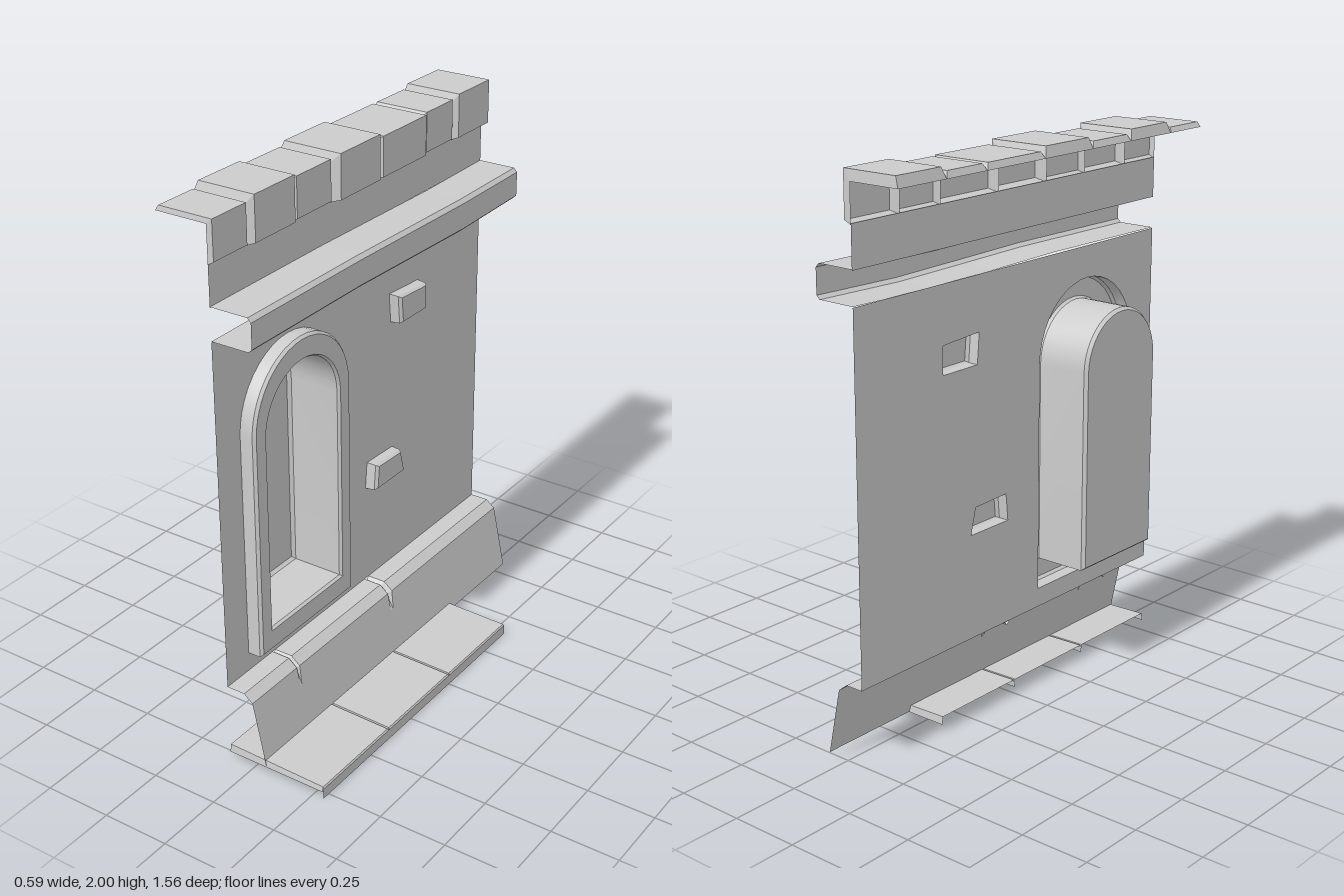
import * as THREE from 'three';
import { toCreasedNormals } from 'three/addons/utils/BufferGeometryUtils.js';

const flat = new THREE.MeshStandardMaterial({ color: 0xcccccc, flatShading: true, side: THREE.DoubleSide });
const smooth = new THREE.MeshStandardMaterial({ color: 0xcccccc, side: THREE.DoubleSide });

const WALL_X = -0.1;
const Z_END = 0.78;

// Joins equal-length rows of [x, y, z] points into a sheet.
function loft(rows) {
  const n = rows[0].length;
  const index = [];
  for (let i = 0; i < rows.length - 1; i++) {
    for (let j = 0; j < n - 1; j++) {
      const a = i * n + j, b = a + 1, c = a + n, d = c + 1;
      index.push(a, c, b, b, c, d);
    }
  }
  const g = new THREE.BufferGeometry();
  g.setAttribute('position', new THREE.Float32BufferAttribute(rows.flat(2), 3));
  g.setIndex(index);
  g.computeVertexNormals();
  return g;
}

function add(group, name, geometry, material = flat) {
  const mesh = new THREE.Mesh(geometry, material);
  mesh.name = name;
  group.add(mesh);
  return mesh;
}

// Closed arch outline as [z, y] points.
function arch(r, bottom, spring, steps = 20) {
  const zc = 0.395;
  const pts = [[zc + r, bottom]];
  for (let i = 0; i <= steps; i++) {
    const a = (i / steps) * Math.PI;
    pts.push([zc + r * Math.cos(a), spring + r * Math.sin(a)]);
  }
  pts.push([zc - r, bottom], [zc + r, bottom]);
  return pts;
}

// Flat sheet facing +x from [z, y] outlines.
function sheet(outline, x, holes = []) {
  const toV = (p) => p.map(([z, y]) => new THREE.Vector2(-z, y));
  const shape = new THREE.Shape(toV(outline));
  for (const h of holes) shape.holes.push(new THREE.Path(toV(h)));
  return new THREE.ShapeGeometry(shape).rotateY(Math.PI / 2).translate(x, 0, 0);
}

const rect = (y0, y1) => [[Z_END, y0], [-Z_END, y0], [-Z_END, y1], [Z_END, y1]];

export function createModel() {
  const model = new THREE.Group();
  model.name = 'wallSection';

  // Two raised bricks, as [z, y] corners
  const bricks = [
    [[-0.2, 1.27], [-0.37, 1.27], [-0.37, 1.37], [-0.19, 1.38]],
    [[-0.04, 0.675], [-0.235, 0.675], [-0.21, 0.77], [-0.05, 0.775]],
  ];

  // Wall sheets with openings behind the niche and bricks
  const frameOutline = arch(0.265, 0.365, 1.195);
  add(model, 'wall', sheet(rect(0.295, 1.575), WALL_X, [frameOutline.slice(0, -1), ...bricks]));
  add(model, 'upperWall', sheet(rect(1.69, 1.835), WALL_X));

  for (const b of bricks) {
    const cz = b.reduce((s, p) => s + p[0], 0) / 4;
    const cy = b.reduce((s, p) => s + p[1], 0) / 4;
    const ring = (k, x) => [...b, b[0]].map(([z, y]) => [x, cy + (y - cy) * k, cz + (z - cz) * k]);
    add(model, 'brick', loft([ring(1, WALL_X), ring(0.96, -0.065), ring(0.85, -0.055), ring(0, -0.055)]));
  }

  // Arched frame and recessed niche: [radius, bottom, spring height, x]
  const stages = [
    [0.265, 0.365, 1.195, WALL_X], [0.265, 0.365, 1.195, -0.052], [0.256, 0.374, 1.195, -0.042],
    [0.207, 0.443, 1.175, -0.042], [0.2, 0.45, 1.175, -0.052],
    [0.2, 0.45, 1.175, -0.243], [0.19, 0.46, 1.175, -0.255],
  ];
  const rings = stages.map(([r, b, s, x]) => arch(r, b, s).map(([z, y]) => [x, y, z]));
  add(model, 'archedFrame', toCreasedNormals(loft(rings), 0.6), smooth);
  add(model, 'nicheBack', sheet(arch(0.19, 0.46, 1.175).slice(0, -1), -0.255));

  // Cornice with a slightly uneven run: [z, height offset]
  const wave = [[Z_END, 0.002], [0.2, 0.006], [-0.1, 0], [-0.42, -0.006], [-Z_END, 0.002]];
  const corniceProfile = [[WALL_X, 1.692], [0.042, 1.692], [0.055, 1.678], [0.055, 1.588], [0.042, 1.576], [WALL_X, 1.576]];
  add(model, 'cornice', loft(wave.map(([z, d]) => corniceProfile.map(([x, y], i) =>
    [x, y + (i < 3 ? d * 0.6 : d), z]))));

  // Sloping plinth with two cracks: [z, crack depth]
  const sections = [[Z_END, 0], [0.53, 0], [0.522, 0.6], [0.514, 0], [-0.03, 0], [-0.044, 1], [-0.056, 0], [-Z_END, 0]];
  const plinth = [[WALL_X, 0.295, 0], [-0.03, 0.295, 0.005], [0.004, 0.268, 0.014], [0.0185, 0.2, 0], [0.055, 0.025, 0]];
  add(model, 'plinth', loft(sections.map(([z, k]) => plinth.map(([x, y, dx], i) =>
    [x - dx * k, y - (i < 3 ? 0.014 * k : 0), z]))));

  // Coping stones: [z start, z end, top height, front x]
  const stones = [
    [0.78, 0.6, 1.98, -0.08], [0.6, 0.37, 2, -0.068], [0.37, 0.16, 1.985, -0.08],
    [0.16, -0.09, 2, -0.06], [-0.09, -0.375, 1.985, -0.065],
    [-0.375, -0.565, 1.985, -0.08], [-0.565, -0.78, 2, -0.07],
  ];
  stones.forEach(([z0, z1, top, fx], i) => {
    const base = [[WALL_X, 1.83], [WALL_X, 1.962], [-0.295, 1.962]];
    const face = [[fx, 1.842], [fx, top], [-0.284, top]];
    const a = z0 - (i === 0 ? 0.003 : 0.013);
    const b = z1 + (i === stones.length - 1 ? 0.003 : 0.013);
    const row = (pts, z) => pts.map(([x, y]) => [x, y, z]);
    const stone = new THREE.Group();
    stone.name = 'copingStone';
    add(stone, 'stoneFaces', loft([row(base, z0), row(face, a), row(face, b), row(base, z1)]));
    // lower and rear lips
    for (const k of [0, 2]) {
      add(stone, 'stoneLip', loft([
        [[...base[k], z0], [...face[k], a]],
        [[...base[k], z1], [...face[k], b]],
      ]));
    }
    model.add(stone);
  });

  // Paving slabs, open underneath
  for (let i = 0; i < 3; i++) {
    const z0 = Z_END - i * 0.39, z1 = z0 - 0.39, e = 0.004;
    const slab = new THREE.Group();
    slab.name = 'pavingSlab';
    const low = (z) => [[WALL_X, 0.025, z], [0.288, 0.025, z]];
    const high = (z) => [[WALL_X, 0.054, z], [0.288, 0.044, z]];
    add(slab, 'slabTop', loft([low(z0), high(z0 - e), high(z1 + e), low(z1)]));
    add(slab, 'slabFront', loft([
      [[0.288, 0.044, z0 - e], [0.292, 0.038, z0], [0.292, 0, z0]],
      [[0.288, 0.044, z1 + e], [0.292, 0.038, z1], [0.292, 0, z1]],
    ]));
    model.add(slab);
  }

  return model;
}
